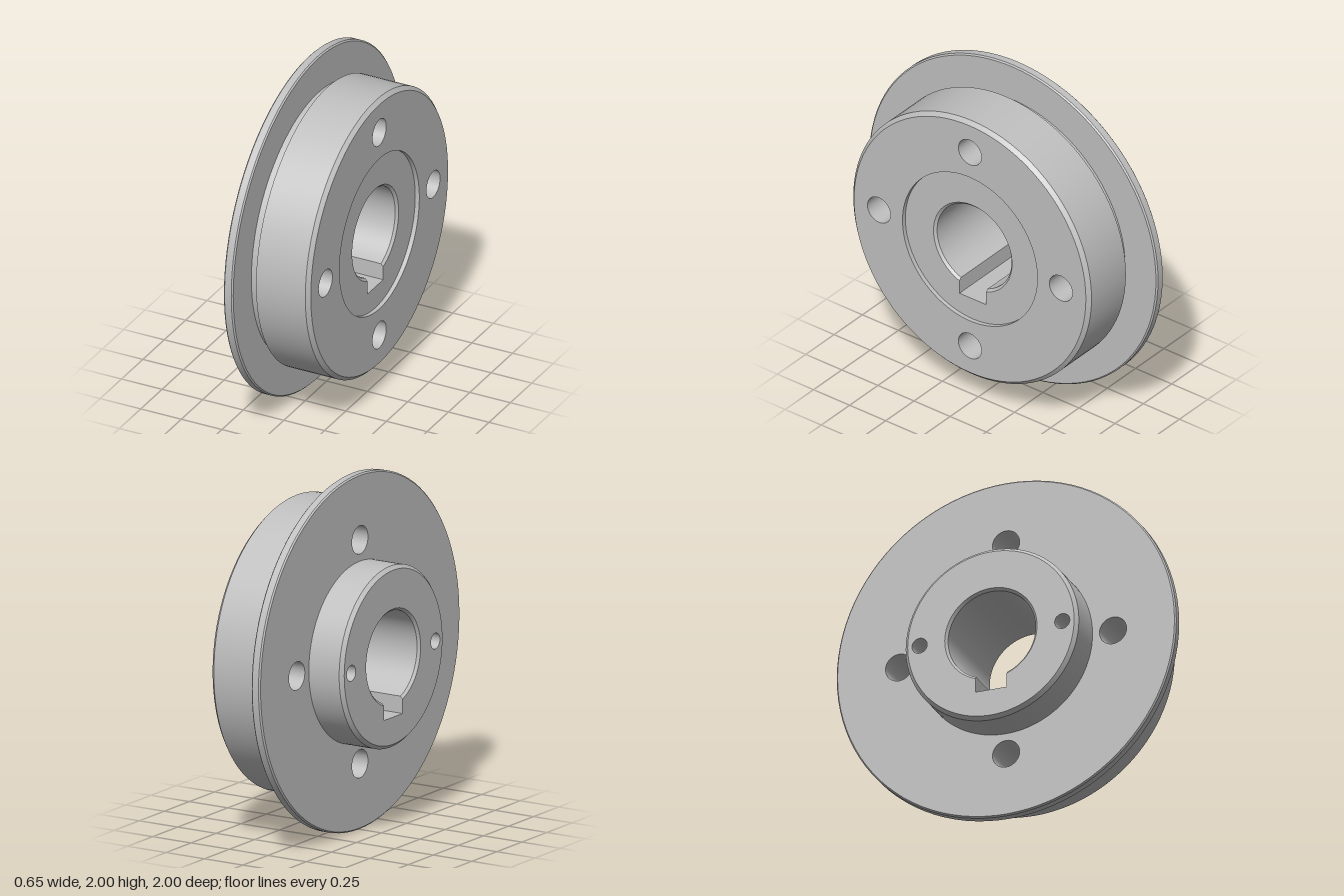
import * as THREE from 'three';
import { toCreasedNormals } from 'three/addons/utils/BufferGeometryUtils.js';

const CREASE = 0.5;
const SEG = 96;

// Counter-clockwise circle as 2D points
function circle(r, cx = 0, cy = 0, n = SEG) {
  return Array.from({ length: n }, (_, i) => {
    const a = (i / n) * Math.PI * 2;
    return new THREE.Vector2(cx + r * Math.cos(a), cy + r * Math.sin(a));
  });
}

// Bore outline with a square keyway at the bottom
function boreLoop(r) {
  const half = 0.092, bottom = -0.337, n = 72;
  const gap = Math.asin(half / r);
  const pts = [];
  for (let i = 0; i <= n; i++) {
    const a = -Math.PI / 2 + gap + (i / n) * (Math.PI * 2 - 2 * gap);
    pts.push(new THREE.Vector2(r * Math.cos(a), r * Math.sin(a)));
  }
  pts.push(new THREE.Vector2(-half, bottom), new THREE.Vector2(half, bottom));
  return pts;
}

// Flat face with holes at position x along the axle, facing +x or -x
function face(outer, holes, x, dir) {
  const shape = new THREE.Shape(outer);
  shape.holes = holes.map((h) => new THREE.Path(h));
  const geo = new THREE.ShapeGeometry(shape);
  if (dir < 0) {
    const idx = geo.index.array;
    for (let i = 0; i < idx.length; i += 3) [idx[i], idx[i + 1]] = [idx[i + 1], idx[i]];
    geo.computeVertexNormals();
  }
  return geo.translate(0, 0, x).rotateY(Math.PI / 2);
}

// Inward-facing wall joining two matching outlines
function wall(loopA, xA, loopB, xB) {
  const n = loopA.length, pos = [], idx = [];
  loopA.forEach((p) => pos.push(p.x, p.y, xA));
  loopB.forEach((p) => pos.push(p.x, p.y, xB));
  for (let i = 0; i < n; i++) {
    const j = (i + 1) % n;
    idx.push(i, n + j, j, i, n + i, n + j);
  }
  const geo = new THREE.BufferGeometry();
  geo.setAttribute('position', new THREE.Float32BufferAttribute(pos, 3));
  geo.setIndex(idx);
  return toCreasedNormals(geo.rotateY(Math.PI / 2), CREASE);
}

// Turned outer surface from [radius, x] pairs
function turned(profile) {
  const geo = new THREE.LatheGeometry(profile.map(([r, x]) => new THREE.Vector2(r, x)), SEG);
  return toCreasedNormals(geo.rotateZ(-Math.PI / 2), CREASE);
}

export function createModel() {
  const group = new THREE.Group();
  group.name = 'flangedWheel';
  const steel = new THREE.MeshStandardMaterial({ color: 0xbfbfbf });
  steel.name = 'grey steel';
  const add = (name, geo) => {
    const mesh = new THREE.Mesh(geo, steel);
    mesh.name = name;
    mesh.position.y = 1;
    group.add(mesh);
  };

  // Positions along the axle
  const back = -0.327, flangeBack = -0.11, flangeFront = -0.053, front = 0.325;
  const recessFloor = 0.3, recessR = 0.467, bevel = 0.014;

  const boltHoles = [[0.63, 0], [0, 0.63], [-0.63, 0], [0, -0.63]].map(([u, v]) => circle(0.08, u, v, 32));
  const pinHoles = [0.42, -0.42].map((u) => circle(0.045, u, 0, 24));
  const bore = boreLoop(0.258), boreRim = boreLoop(0.258 + bevel);

  // Rear hub
  add('hubSide', turned([[0.49, back], [0.51, back + 0.02], [0.51, flangeBack]]));
  add('hubFace', face(circle(0.49), [boreRim, ...pinHoles], back, -1));

  // Flange, neck and wheel tread
  add('flangeBackFace', face(circle(0.992), [circle(0.51), ...boltHoles], flangeBack, -1));
  add('flangeAndTread', turned([
    [0.992, flangeBack], [1, flangeBack + 0.008], [1, flangeFront - 0.008], [0.992, flangeFront],
    [0.78, flangeFront], [0.78, 0], [0.825, 0], [0.825, front - 0.022], [0.803, front],
  ]));

  // Front face with shallow round recess
  add('wheelFrontFace', face(circle(0.803), [circle(recessR), ...boltHoles], front, 1));
  add('recessWall', wall(circle(recessR), recessFloor, circle(recessR), front));
  add('recessFloor', face(circle(recessR), [boreRim], recessFloor, 1));

  // Keyed bore, bevelled at both ends
  add('boreBackBevel', wall(boreRim, back, bore, back + bevel));
  add('boreWall', wall(bore, back + bevel, bore, recessFloor - bevel));
  add('boreFrontBevel', wall(bore, recessFloor - bevel, boreRim, recessFloor));

  // Through holes in the wheel, blind pin holes in the hub
  boltHoles.forEach((h) => add('boltHole', wall(h, flangeBack, h, front)));
  pinHoles.forEach((h) => {
    add('pinHole', wall(h, back, h, back + 0.2));
    add('pinHoleEnd', face(h, [], back + 0.2, -1));
  });

  return group;
}
